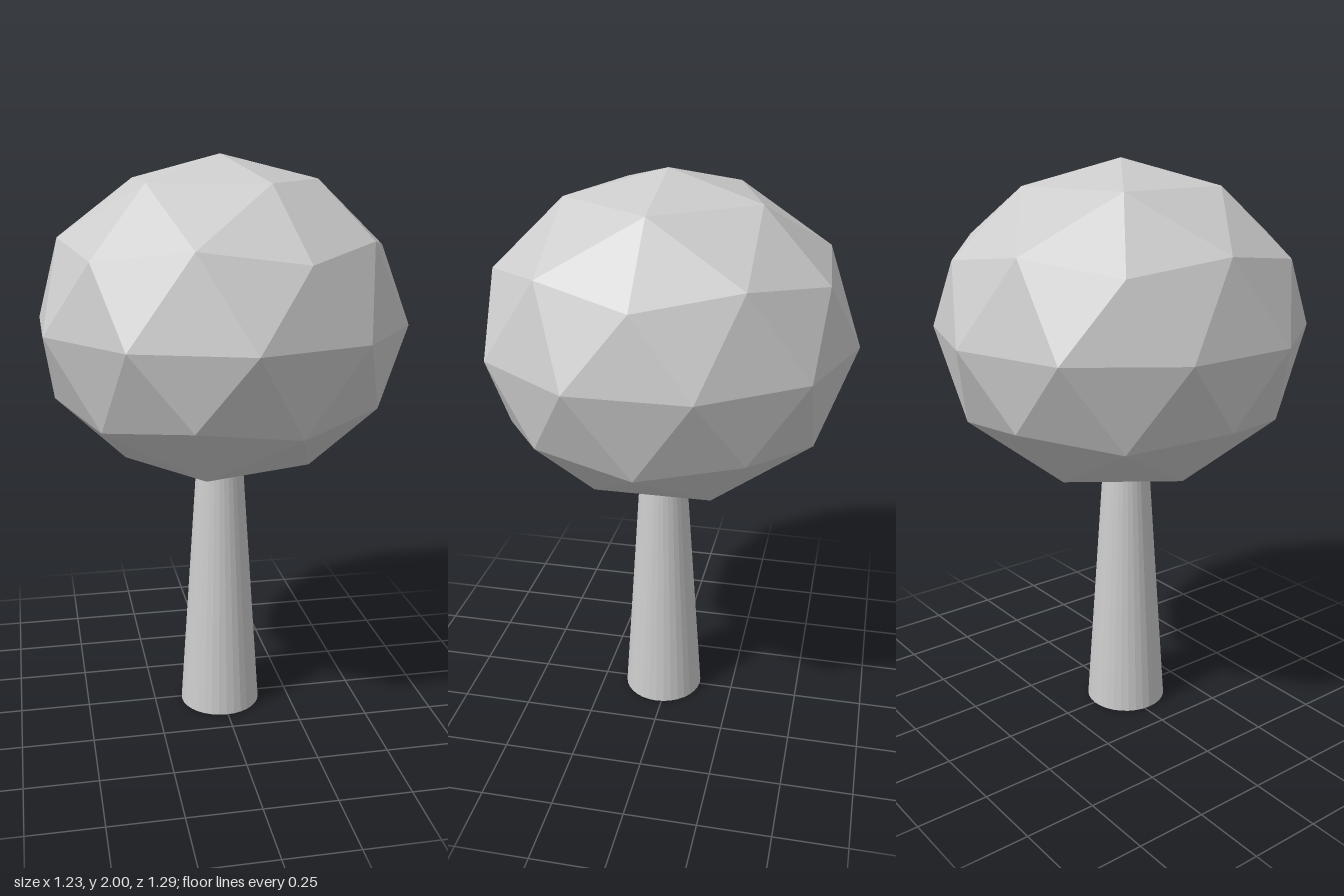
import * as THREE from 'three';

export function createModel() {
  const tree = new THREE.Group();
  tree.name = 'tree';

  const grey = new THREE.MeshStandardMaterial({ color: 0xcccccc, flatShading: true });
  grey.name = 'light grey';

  // Crown: faceted icosphere turned so a corner points straight up, then squashed
  const golden = (1 + Math.sqrt(5)) / 2;
  const crownShape = new THREE.IcosahedronGeometry(1, 1);
  crownShape.rotateZ(-Math.atan(1 / golden));
  crownShape.scale(0.645, 0.56, 0.645);
  crownShape.computeVertexNormals();
  const crown = new THREE.Mesh(crownShape, grey);
  crown.name = 'crown';
  crown.position.y = 1.44;
  tree.add(crown);

  // Trunk: tapered, slightly off centre, its top sunk into the crown
  const height = 0.98;
  const trunk = new THREE.Mesh(new THREE.CylinderGeometry(0.08, 0.145, height, 32), grey);
  trunk.name = 'trunk';
  trunk.position.set(-0.005, height / 2, 0.02);
  tree.add(trunk);

  return tree;
}
